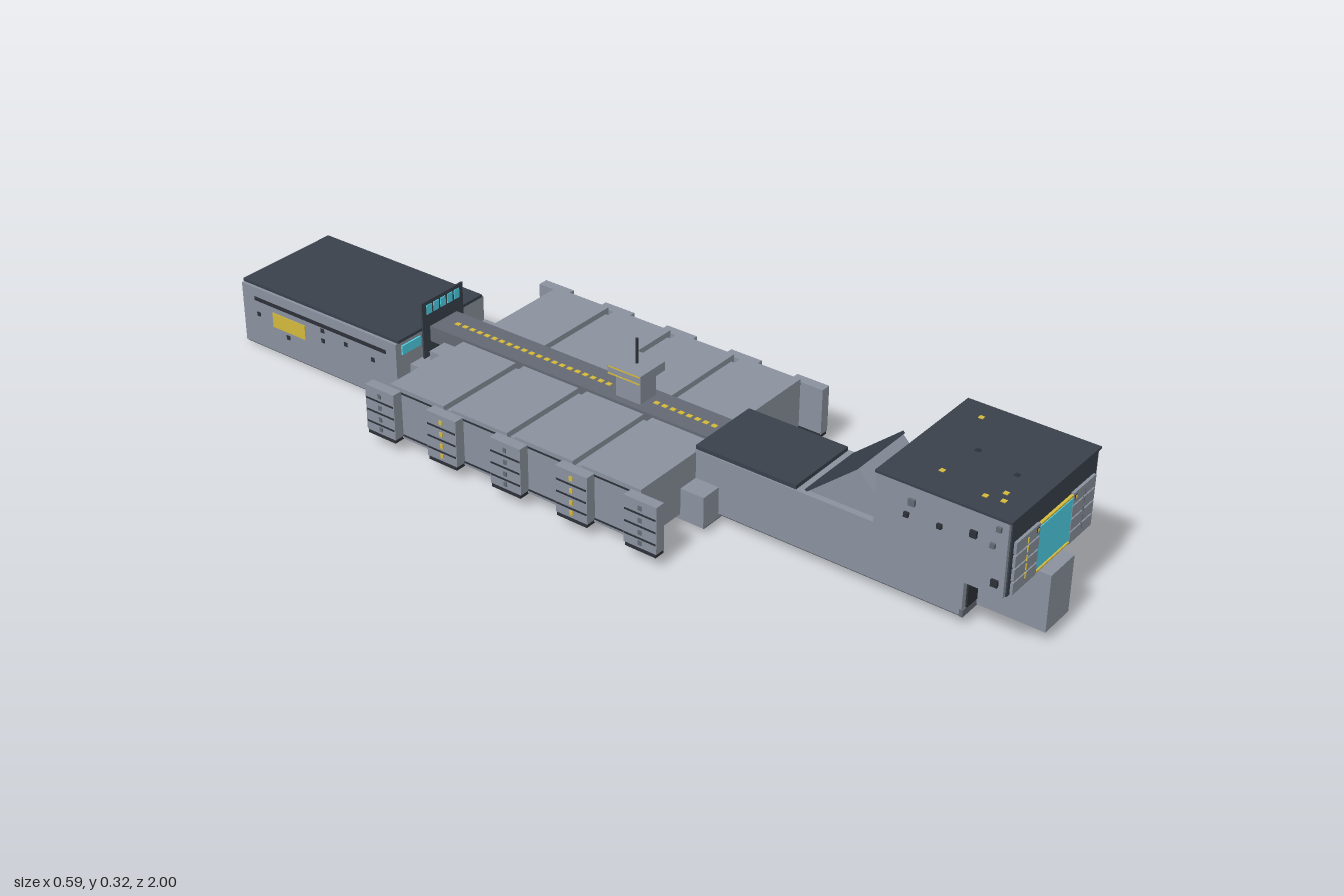
import * as THREE from 'three';

const mat = (name, color) => {
  const m = new THREE.MeshStandardMaterial({ color });
  m.name = name;
  return m;
};

export function createModel() {
  const root = new THREE.Group();
  root.name = 'cargoShip';
  const hull = mat('hullGrey', 0x8a929e);
  const mid = mat('midGrey', 0x636873);
  const belly = mat('bellyGrey', 0x50545e);
  const dark = mat('darkPlate', 0x3a414c);
  const black = mat('blackTrim', 0x2d3037);
  const cyan = mat('cyanGlass', 0x50d2e8);
  const yellow = mat('yellowMark', 0xd4b93c);

  // Box given by its limits on each axis
  const box = (name, m, x0, x1, y0, y1, z0, z1) => {
    const mesh = new THREE.Mesh(new THREE.BoxGeometry(x1 - x0, y1 - y0, z1 - z0), m);
    mesh.position.set((x0 + x1) / 2, (y0 + y1) / 2, (z0 + z1) / 2);
    mesh.name = name;
    root.add(mesh);
    return mesh;
  };
  // Box symmetric about x = 0
  const mid2 = (name, m, w, y0, y1, z0, z1) => box(name, m, -w, w, y0, y1, z0, z1);
  // Mirrored pair of boxes
  const pair = (name, m, x0, x1, y0, y1, z0, z1) => {
    box(name + 'Left', m, x0, x1, y0, y1, z0, z1);
    box(name + 'Right', m, -x1, -x0, y0, y1, z0, z1);
  };

  // Forward neck and nose
  mid2('neck', hull, 0.093, 0.028, 0.155, 0.23, 0.85);
  mid2('neckUnderside', belly, 0.09, 0.024, 0.029, 0.23, 0.85);
  mid2('neckDeck', dark, 0.09, 0.155, 0.164, 0.23, 0.47);
  mid2('neckFrontFrame', mid, 0.093, 0.025, 0.041, 0.845, 0.853);
  pair('neckIntake', black, 0.043, 0.08, 0.041, 0.153, 0.849, 0.854);
  mid2('nose', hull, 0.043, 0.028, 0.155, 0.85, 1);
  pair('noseLeg', black, 0.022, 0.031, 0, 0.026, 0.815, 0.825);

  // Ramp wedge behind the head, with a dark plate on its rear slope
  const tri = new THREE.Shape([[-0.69, 0.155], [-0.6, 0.248], [-0.49, 0.155]].map(p => new THREE.Vector2(...p)));
  const wedge = new THREE.Mesh(new THREE.ExtrudeGeometry(tri, { depth: 0.156, bevelEnabled: false }), hull);
  wedge.rotation.y = Math.PI / 2;
  wedge.position.x = -0.078;
  wedge.name = 'rampWedge';
  root.add(wedge);
  const ramp = box('rampPlate', dark, -0.083, 0.083, -0.003, 0.003, 0, 0.146);
  ramp.position.set(0, 0.203, 0.543);
  ramp.rotation.x = -Math.atan2(0.093, 0.11);

  // Head with an opening in its back wall
  mid2('headBody', hull, 0.163, 0.158, 0.316, 0.76, 0.968);
  pair('headBackWall', hull, 0.09, 0.163, 0.158, 0.316, 0.69, 0.76);
  mid2('headBackLintel', hull, 0.09, 0.285, 0.316, 0.69, 0.76);
  mid2('headBackSill', hull, 0.09, 0.158, 0.18, 0.69, 0.76);
  mid2('headOpening', black, 0.09, 0.18, 0.285, 0.754, 0.759);
  mid2('headRoof', dark, 0.163, 0.316, 0.321, 0.687, 0.973);
  mid2('headFace', dark, 0.155, 0.158, 0.316, 0.966, 0.971);
  for (let i = 0; i < 4; i++)
    pair('faceSlat', hull, 0.061, 0.145, 0.159 + i * 0.029, 0.184 + i * 0.029, 0.97, 0.977);
  mid2('screen', cyan, 0.062, 0.168, 0.26, 0.97, 0.976);
  mid2('screenTopStrip', yellow, 0.061, 0.264, 0.268, 0.97, 0.977);
  mid2('screenBottomStrip', yellow, 0.061, 0.161, 0.164, 0.97, 0.977);
  pair('faceLampFrame', black, 0.065, 0.074, 0.256, 0.265, 0.976, 0.978);
  pair('faceLamp', yellow, 0.0665, 0.0725, 0.2575, 0.2635, 0.977, 0.979);
  for (let i = 0; i < 5; i++) {
    const y = 0.174 + i * 0.019;
    box('faceDashRight', yellow, -0.105, -0.102, y, y + 0.012, 0.975, 0.979);
    box('faceDashLeft', mid, 0.102, 0.104, y, y + 0.012, 0.975, 0.979);
  }
  // Side ports and roof lamps
  [[0.94, 0.262], [0.9, 0.27], [0.83, 0.258], [0.77, 0.285], [0.76, 0.255], [0.95, 0.185], [0.95, 0.3]]
    .forEach(([z, y], i) => {
      const s = i % 2 ? 0.007 : 0.005;
      pair('headPort', i % 3 ? black : mid, 0.162, 0.169, y - s, y + s, z - s, z + s);
    });
  [[-0.09, 0.785], [0.115, 0.745], [-0.115, 0.89], [-0.085, 0.915], [-0.11, 0.925], [0.01, 0.8], [-0.02, 0.9]]
    .forEach(([x, z], i) =>
      box('roofLamp', i < 5 ? yellow : black, x - 0.005, x + 0.005, 0.32, 0.3225, z - 0.005, z + 0.005));

  // Central spine with a row of lamps
  mid2('spineCore', hull, 0.09, 0.03, 0.13, -0.48, 0.23);
  mid2('spine', mid, 0.043, 0.12, 0.157, -0.525, 0.23);
  for (let i = 0; i < 34; i++) {
    const z = -0.477 + i * 0.0208;
    if (Math.abs(z) > 0.045) mid2('spineLamp', yellow, 0.005, 0.156, 0.1585, z - 0.006, z + 0.006);
  }

  // Control tower
  mid2('towerStalk', hull, 0.026, 0.157, 0.212, -0.022, 0.042);
  mid2('towerCap', hull, 0.041, 0.212, 0.233, -0.032, 0.053);
  for (const y of [0.213, 0.229]) pair('towerStrip', yellow, 0.04, 0.042, y, y + 0.003, -0.03, 0.051);
  const mast = new THREE.Mesh(new THREE.CylinderGeometry(0.003, 0.003, 0.06, 8), black);
  mast.position.set(0, 0.261, 0.012);
  mast.name = 'mast';
  root.add(mast);

  // Belly plate and cross blocks
  mid2('bellyPlate', hull, 0.143, 0.018, 0.035, -0.47, 0.29);
  mid2('bellyUnderside', belly, 0.138, 0.014, 0.018, -0.47, 0.288);
  pair('frontBlock', hull, 0.093, 0.143, 0.035, 0.09, 0.23, 0.29);
  pair('rearBlock', hull, 0.09, 0.143, 0.035, 0.09, -0.485, -0.42);
  mid2('engineLink', hull, 0.1, 0.004, 0.085, -0.53, -0.4);
  mid2('engineLinkUnderside', belly, 0.098, 0.001, 0.004, -0.53, -0.402);

  // Cargo containers, four each side
  for (let i = 0; i < 4; i++) {
    const z = -0.425 + i * 0.17;
    pair('container', hull, 0.043, 0.27, 0.03, 0.151, z, z + 0.148);
    for (const y of [0.036, 0.137])
      pair('containerLine', black, 0.2695, 0.271, y, y + 0.004, z, z + 0.148);
    if (i) pair('containerGap', hull, 0.043, 0.26, 0.04, 0.138, z - 0.022, z);
  }
  // Small lamps and ports on the front container faces
  [[-0.113, 0.124, yellow], [-0.118, 0.095, yellow], [-0.21, 0.1, black], [-0.225, 0.063, black],
    [0.15, 0.125, black], [0.155, 0.095, black], [0.175, 0.12, black], [0.225, 0.06, yellow]]
    .forEach(([x, y, m]) => box('containerPort', m, x - 0.002, x + 0.002, y - 0.002, y + 0.002, 0.221, 0.225));

  // Clamps on the container ends
  for (let i = 0; i < 5; i++) {
    const z = -0.435 + i * 0.171;
    pair('clamp', hull, 0.27, 0.294, 0.036, 0.144, z - 0.04, z + 0.04);
    pair('clampFoot', black, 0.268, 0.293, 0.027, 0.038, z - 0.038, z + 0.038);
    for (const y of [0.058, 0.086, 0.114])
      pair('clampGroove', black, 0.293, 0.295, y - 0.002, y + 0.002, z - 0.038, z + 0.038);
    for (const y of [0.048, 0.072, 0.1, 0.128])
      pair('clampLamp', i % 2 ? yellow : mid, 0.293, 0.296, y - 0.005, y + 0.005, z - 0.004, z + 0.004);
  }

  // Engine block
  mid2('engine', hull, 0.142, 0.006, 0.15, -0.998, -0.53);
  mid2('engineRoof', dark, 0.135, 0.15, 0.157, -1, -0.528);
  mid2('engineUnderside', belly, 0.139, 0.002, 0.006, -0.997, -0.531);
  pair('engineSlot', black, 0.14, 0.1435, 0.118, 0.127, -0.96, -0.56);
  pair('engineSign', yellow, 0.14, 0.1435, 0.068, 0.104, -0.905, -0.805);
  pair('engineLouver', black, 0.1, 0.138, 0.006, 0.011, -0.532, -0.527);
  [[-0.6, 0.09], [-0.68, 0.1], [-0.75, 0.085], [-0.75, 0.11], [-0.86, 0.055], [-0.95, 0.085]].forEach(([z, y]) =>
    pair('enginePort', black, 0.14, 0.1435, y - 0.005, y + 0.005, z - 0.005, z + 0.005));
  // Ports and lamp row on the stern
  for (let i = 0; i < 21; i++) {
    const x = -0.1 + (i % 7) * 0.033 + 0.008 * Math.sin(i * 5.1);
    const y = 0.05 + Math.floor(i / 7) * 0.033 + 0.01 * Math.sin(i * 3.7);
    box('sternPort', i % 7 === 3 ? yellow : black, x - 0.003, x + 0.003, y - 0.003, y + 0.003, -1, -0.996);
  }
  for (let i = 0; i < 12; i++) {
    const x = -0.121 + i * 0.022;
    box('sternLamp', yellow, x - 0.007, x + 0.007, 0.011, 0.016, -1, -0.996);
  }

  // Thin upright display ahead of the engine, with lit windows
  mid2('displayPanel', dark, 0.065, 0.085, 0.22, -0.524, -0.52);
  for (let i = 0; i < 5; i++) {
    const x = -0.044 + i * 0.022;
    box('displayWindow', cyan, x - 0.008, x + 0.008, 0.189, 0.211, -0.521, -0.518);
  }
  box('engineWindow', cyan, -0.125, -0.067, 0.119, 0.141, -0.531, -0.526);
  return root;
}
